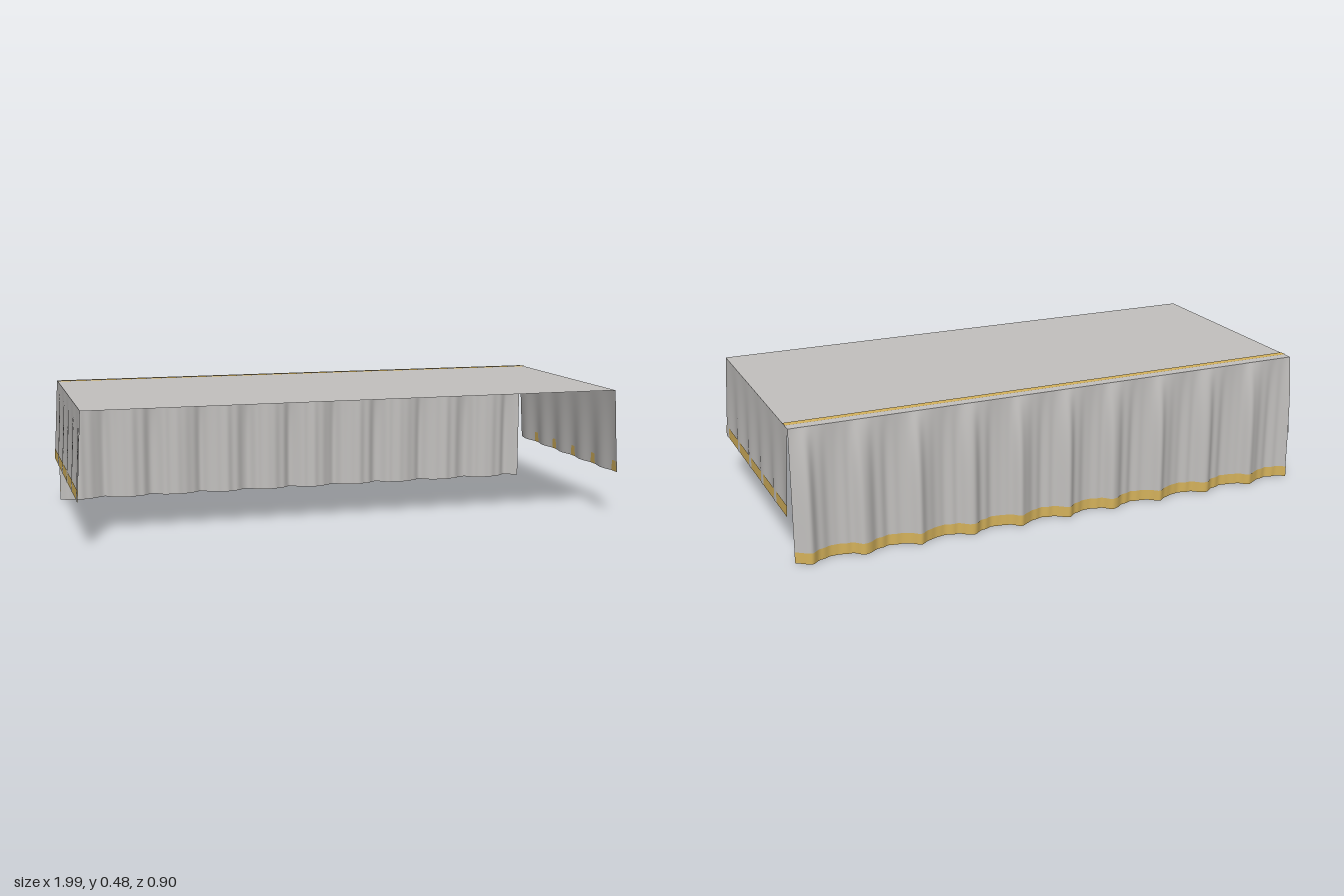
import * as THREE from 'three';

const W = 0.977, TOP = 0.478, FRONT = 0.452, BACK = -0.414;
const SIDE_HEM = 0.17, BAND = 0.04;

// Smooth cloth sheet: point(u, v) gives [x, y, z] for u, v in 0..1
function sheet(nu, nv, point) {
  const pos = [], idx = [];
  for (let j = 0; j <= nv; j++)
    for (let i = 0; i <= nu; i++) pos.push(...point(i / nu, j / nv));
  for (let j = 0; j < nv; j++)
    for (let i = 0; i < nu; i++) {
      const a = j * (nu + 1) + i, b = a + 1, c = a + nu + 1, d = c + 1;
      idx.push(a, c, b, b, c, d);
    }
  const g = new THREE.BufferGeometry();
  g.setAttribute('position', new THREE.Float32BufferAttribute(pos, 3));
  g.setIndex(idx);
  g.computeVertexNormals();
  return g;
}

// Depth of the pleated back drape at x and height y
function backZ(x, y) {
  const t = (TOP - y) / TOP;
  const swell = 1 - Math.pow(1 - t, 4);
  const a = (x + 0.8) / 0.191 * Math.PI * 2 + 0.25 * Math.sin(x * 5);
  const pleat = Math.pow(0.5 + 0.5 * Math.cos(a + 0.35 * Math.sin(a)), 1.3);
  const crease = 0.0025 * Math.sin(a * 3 + 1) + 0.0015 * Math.sin(a * 4.6);
  return BACK - swell * (0.034 * pleat - 0.004 + crease);
}

// Outward position of a side drape; wave scales its soft ripple
function sideX(z, y, wave) {
  const t = (TOP - y) / (TOP - SIDE_HEM);
  return W + 0.013 * t + 0.006 * t * wave * Math.cos((z - 0.255) / 0.172 * Math.PI * 2);
}

export function createModel() {
  const group = new THREE.Group();
  const cloth = new THREE.MeshStandardMaterial({ color: 0xc3c1bf, side: THREE.DoubleSide });
  cloth.name = 'grey cloth';
  const gold = new THREE.MeshStandardMaterial({ color: 0xd6b35c, side: THREE.DoubleSide });
  gold.name = 'gold trim';

  const add = (name, geometry, material) => {
    const m = new THREE.Mesh(geometry, material);
    m.name = name;
    group.add(m);
  };
  const lerp = THREE.MathUtils.lerp;

  // Flat table top and the stripe near its back edge
  add('topCloth', sheet(1, 1, (u, v) => [lerp(-W, W, u), TOP, lerp(BACK, FRONT, v)]), cloth);
  add('topStripe', sheet(1, 1, (u, v) => [lerp(-W, W, u), TOP + 0.002, lerp(-0.382, -0.355, v)]), gold);

  // Long pleated drape at the back, with its hem band just outside
  add('backDrape', sheet(330, 24, (u, v) => {
    const x = lerp(W, -W, u), y = TOP * (1 - v);
    return [x, y, backZ(x, y)];
  }), cloth);
  add('backHem', sheet(330, 2, (u, v) => {
    const x = lerp(W, -W, u), y = BAND * (1 - v);
    return [x, y, backZ(x, y) - 0.003];
  }), gold);

  // Short side drapes; ripples break through the straight hem band
  for (const s of [1, -1]) {
    const side = s > 0 ? 'left' : 'right';
    const ends = s > 0 ? [FRONT, BACK] : [BACK, FRONT];
    add(side + 'Drape', sheet(80, 12, (u, v) => {
      const z = lerp(...ends, u), y = lerp(TOP, SIDE_HEM, v);
      return [s * sideX(z, y, 1), y, z];
    }), cloth);
    add(side + 'Hem', sheet(80, 1, (u, v) => {
      const z = lerp(...ends, u), y = lerp(SIDE_HEM + BAND, SIDE_HEM, v);
      return [s * (sideX(z, y, 0) + 0.0046), y, z];
    }), gold);
  }
  return group;
}
